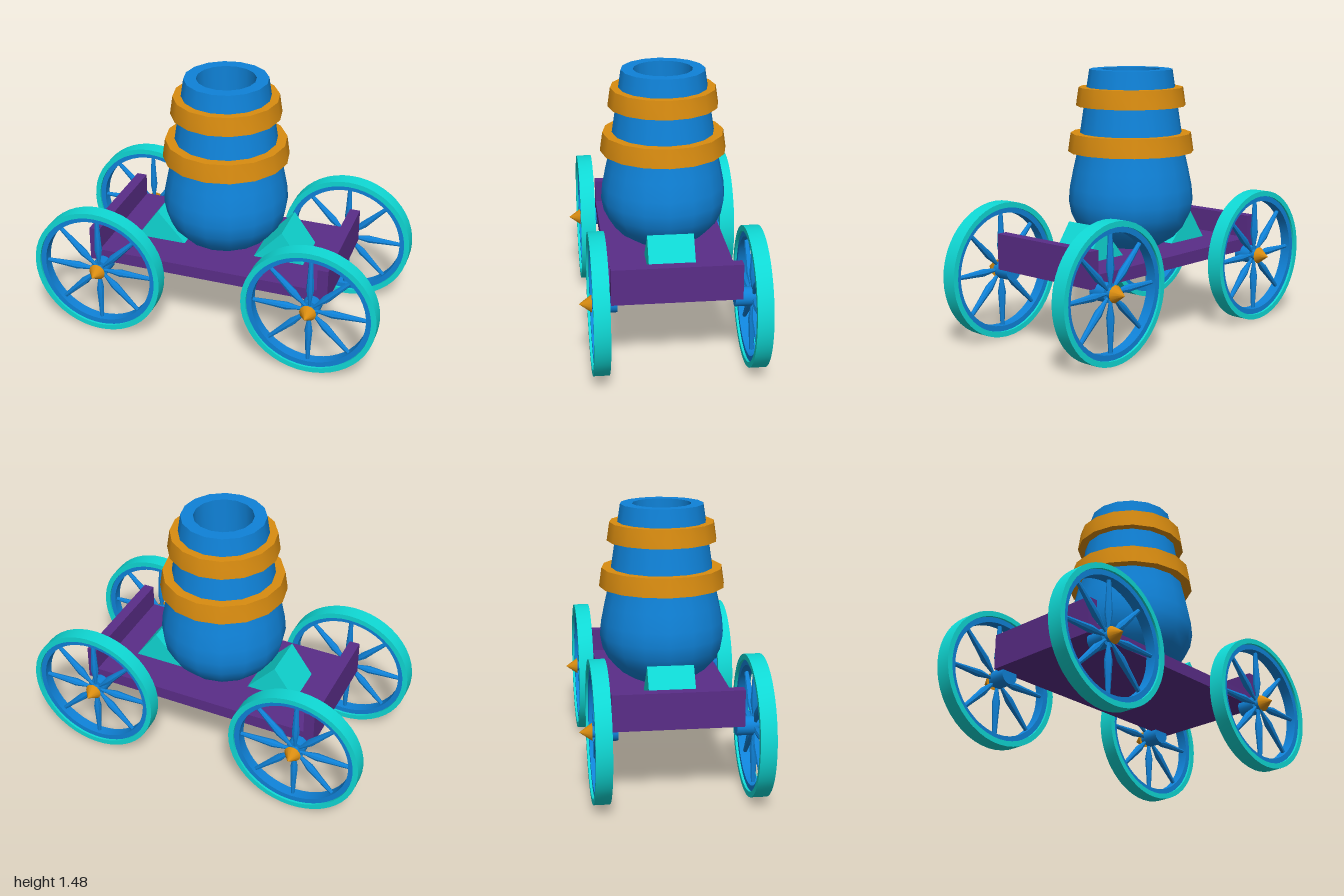
import * as THREE from 'three';
import { toCreasedNormals } from 'three/addons/utils/BufferGeometryUtils.js';

const material = (name, color) => {
  const m = new THREE.MeshStandardMaterial({ color });
  m.name = name;
  return m;
};

// Lathe from [radius, height] pairs, listed bottom to top on the outside
const turned = (points, sides) => toCreasedNormals(
  new THREE.LatheGeometry(points.map(([r, y]) => new THREE.Vector2(r, y)), sides), 0.6);

// Closed ring with rectangular or tapered section
const ring = (inner, outerLow, outerHigh, low, high, sides) => turned(
  [[inner, low], [outerLow, low], [outerHigh, high], [inner, high], [inner, low]], sides);

export function createModel() {
  const blue = material('blue', 0x0f82d8);
  const turquoise = material('turquoise', 0x0fd8d4);
  const purple = material('purple', 0x5a2d88);
  const orange = material('orange', 0xd98c10);

  const model = new THREE.Group();
  model.name = 'mortarCart';

  const add = (parent, name, geometry, mat, x = 0, y = 0, z = 0) => {
    const mesh = new THREE.Mesh(geometry, mat);
    mesh.name = name;
    mesh.position.set(x, y, z);
    parent.add(mesh);
    return mesh;
  };

  // Cart bed with a raised board at each end
  add(model, 'bed', new THREE.BoxGeometry(1.4, 0.07, 0.7), purple, 0, 0.435, 0);
  const board = new THREE.BoxGeometry(0.06, 0.2, 0.7);
  for (const s of [-1, 1]) add(model, 'endBoard', board, purple, s * 0.67, 0.5, 0);

  // Triangular chocks holding the barrel
  for (const s of [-1, 1]) {
    const outline = new THREE.Shape([
      new THREE.Vector2(s * 0.2, 0.46),
      new THREE.Vector2(s * 0.505, 0.46),
      new THREE.Vector2(s * 0.37, 0.65),
    ]);
    const chock = new THREE.ExtrudeGeometry(outline, { depth: 0.256, bevelEnabled: false });
    add(model, 'chock', chock, turquoise, 0, 0, -0.128);
  }

  // Barrel with hollow bore
  const barrel = [
    [0, 0.47], [0.09, 0.472], [0.17, 0.49], [0.25, 0.54], [0.305, 0.6], [0.338, 0.665],
    [0.352, 0.74], [0.345, 0.82], [0.325, 0.92], [0.302, 1.02], [0.233, 1.48],
    [0.165, 1.48], [0.165, 0.9], [0, 0.9],
  ];
  add(model, 'barrel', turned(barrel, 16), blue);

  // Hoops
  add(model, 'lowerHoop', ring(0.26, 0.354, 0.339, 1.02, 1.125, 16), orange);
  add(model, 'upperHoop', ring(0.225, 0.308, 0.293, 1.277, 1.38, 16), orange);

  // Wheels, built along +y then turned so the hub cap points outwards
  const tyre = ring(0.35, 0.38, 0.38, -0.043, 0.043, 48);
  const felloe = ring(0.32, 0.352, 0.352, -0.03, 0.03, 48);
  const spoke = turned([[0.007, 0.03], [0.012, 0.07], [0.022, 0.13], [0.017, 0.21], [0.011, 0.33]], 8);
  const axle = new THREE.CylinderGeometry(0.052, 0.052, 0.1, 16);
  const hub = new THREE.CylinderGeometry(0.03, 0.03, 0.06, 16);
  const cap = new THREE.ConeGeometry(0.048, 0.068, 12);
  for (const sx of [-1, 1]) for (const sz of [-1, 1]) {
    const wheel = new THREE.Group();
    wheel.name = (sz > 0 ? 'front' : 'back') + (sx > 0 ? 'Left' : 'Right') + 'Wheel';
    wheel.position.set(sx * 0.62, 0.38, sz * 0.414);
    wheel.rotation.x = sz * Math.PI / 2;
    add(wheel, 'tyre', tyre, turquoise);
    add(wheel, 'felloe', felloe, blue);
    add(wheel, 'axle', axle, blue, 0, -0.05, 0);
    add(wheel, 'hub', hub, blue, 0, 0.01, 0);
    add(wheel, 'hubCap', cap, orange, 0, 0.068, 0);
    for (let i = 0; i < 8; i++) {
      const arm = add(wheel, 'spoke', spoke, blue);
      arm.rotation.set(Math.PI / 2, 0, i * Math.PI / 4, 'YXZ');
    }
    model.add(wheel);
  }

  return model;
}
